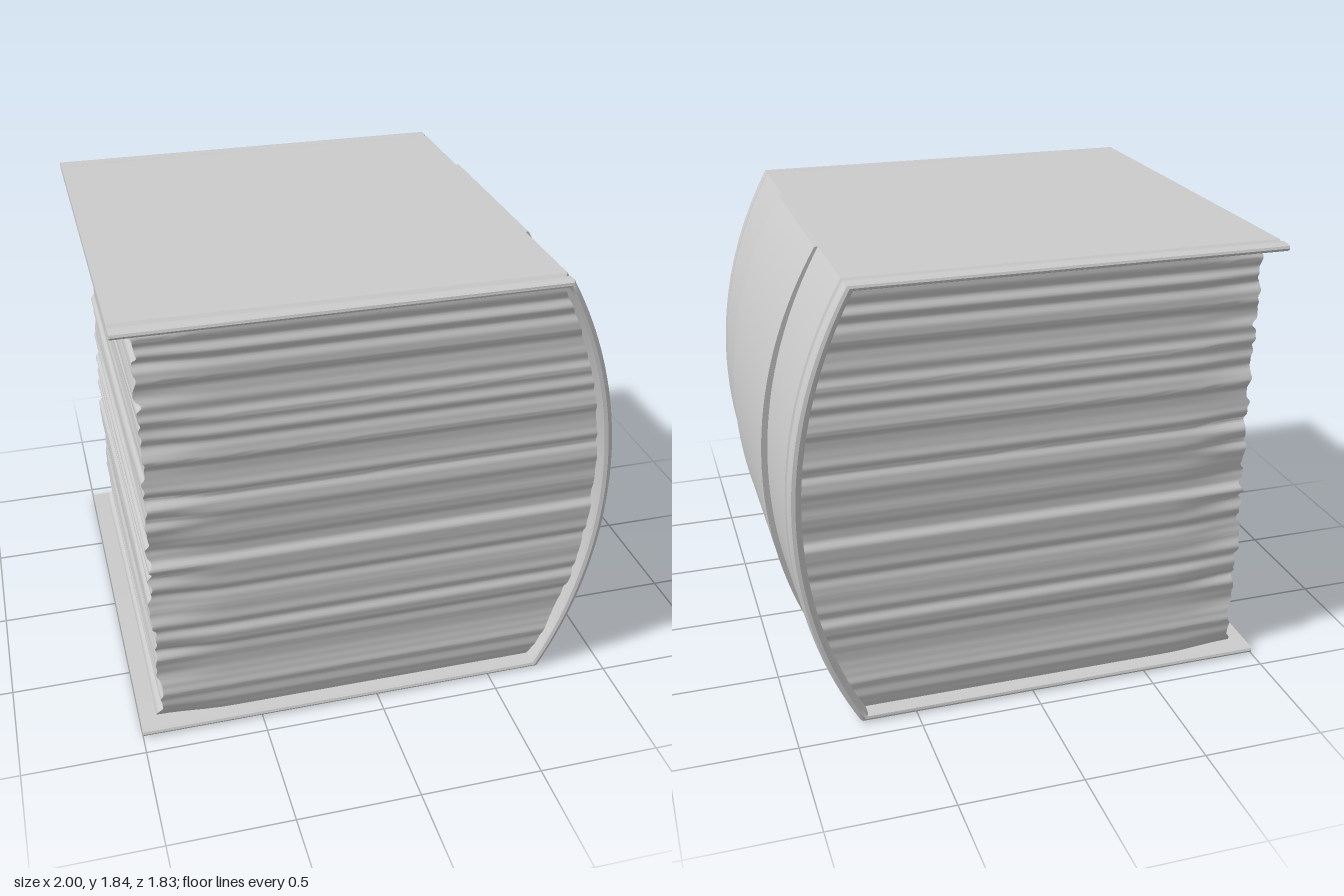
import * as THREE from 'three';
import { toCreasedNormals } from 'three/addons/utils/BufferGeometryUtils.js';

const H = 1.84, MID = H / 2;

// Points on a circular arc from (x0, y0) over (x1, MID) to (x0, H - y0)
function arc(x0, x1, y0, n = 40) {
  const half = MID - y0, sag = x1 - x0;
  const r = (half * half + sag * sag) / (2 * sag);
  const a = Math.asin(half / r);
  return Array.from({ length: n + 1 }, (_, i) => {
    const t = -a + (2 * a * i) / n;
    return new THREE.Vector2(x1 - r + r * Math.cos(t), MID + r * Math.sin(t));
  });
}

// Skin over rows of equally many points, with optional end caps
function skin(rows, capFaces = []) {
  const n = rows[0].length, index = [];
  for (let k = 0; k < rows.length - 1; k++) {
    for (let i = 0; i < n - 1; i++) {
      const a = k * n + i, b = a + 1, c = a + n, d = c + 1;
      index.push(a, c, b, b, c, d);
    }
  }
  const last = (rows.length - 1) * n;
  for (const [a, b, c] of capFaces) index.push(a, b, c, last + a, last + c, last + b);
  const g = new THREE.BufferGeometry();
  g.setAttribute('position', new THREE.Float32BufferAttribute(rows.flat(2), 3));
  g.setIndex(index);
  g.computeVertexNormals();
  return g;
}

// Seeded random numbers
function seeded(seed) {
  return () => {
    seed = (seed * 16807) % 2147483647;
    return seed / 2147483647;
  };
}

// Smooth 1D noise in -1..1 with irregular ridges
function ridges(seed, count) {
  const rand = seeded(seed);
  const v = Array.from({ length: count + 2 }, () => rand() * 2 - 1);
  return (t) => {
    const p = t * count, i = Math.floor(p), f = p - i;
    return THREE.MathUtils.lerp(v[i], v[i + 1], f * f * (3 - 2 * f));
  };
}

// Cover: one section with rolled, grooved edges swept along board, spine, board
function coverGeometry() {
  const edge = [[0.83, 0], [0.843, 0.32], [0.856, 0.04], [0.875, 0], [0.895, 0.02], [0.91, 0.2], [0.915, 0.5], [0.91, 0.8], [0.895, 1]];
  const left = edge.map(([z, t]) => [-z, t]).reverse();
  const profile = [...left, ...edge];
  const outer = [new THREE.Vector2(-1, 0), ...arc(0.73, 0.975, 0), new THREE.Vector2(-1, H)];
  const inner = [new THREE.Vector2(-1, 0.03), ...arc(0.7, 0.925, 0.03), new THREE.Vector2(-1, H - 0.03)];
  const rows = outer.map((o, k) => [...profile, profile[0]].map(([z, t]) => {
    const p = o.clone().lerp(inner[k], t);
    return [p.x, p.y, z];
  }));
  const caps = THREE.ShapeUtils.triangulateShape(profile.map(([z, t]) => new THREE.Vector2(z, t)), []);
  return toCreasedNormals(skin(rows, caps), 0.6);
}

// Raised band around the middle of the spine
function bandGeometry() {
  const shape = new THREE.Shape([...arc(0.745, 1, 0.002), ...arc(0.71, 0.96, 0.002).reverse()]);
  const g = new THREE.ExtrudeGeometry(shape, { depth: 0.824, bevelEnabled: false });
  g.translate(0, 0, -0.412);
  return toCreasedNormals(g, 0.6);
}

// Page block: horizontal outlines stacked in y, rippled like loose sheets
function pagesGeometry() {
  const y0 = 0.025, y1 = H - 0.025, layers = 200;
  const sideNoise = ridges(71, 52), foreNoise = ridges(913, 64), tipNoise = ridges(377, 40);
  const r = 1.873, cx = 0.925 - r;
  const rows = [];
  for (let j = 0; j <= layers; j++) {
    const t = j / layers, y = y0 + (y1 - y0) * t;
    const spineX = cx + Math.sqrt(r * r - (y - MID) ** 2) + 0.01;
    const side = sideNoise(t), fore = foreNoise(t), tip = tipNoise(t);
    const foreX = (s) => -0.915 + 0.012 * fore + 0.006 * tip * s;
    const sideZ = (x) => {
      const nearFore = THREE.MathUtils.smoothstep(-x, 0.62, 0.92);
      return 0.86 + 0.013 * side + nearFore * (0.012 * tip - 0.012);
    };
    const row = [], n = 20;
    const along = (i) => THREE.MathUtils.lerp(spineX, foreX(1), 1 - (1 - i / n) ** 1.5);
    for (let i = 0; i <= n; i++) row.push([along(i), y, sideZ(along(i))]);
    const zc = sideZ(foreX(1));
    for (let i = 1; i < 12; i++) {
      const s = 1 - i / 6;
      row.push([foreX(s * s), y, zc * s]);
    }
    for (let i = n; i >= 0; i--) row.push([along(i), y, -sideZ(along(i))]);
    rows.push(row);
  }
  return toCreasedNormals(skin(rows), 0.9);
}

export function createModel() {
  const group = new THREE.Group();
  group.name = 'book';
  const grey = new THREE.MeshStandardMaterial({ color: 0xcccccc });
  const greyBoth = new THREE.MeshStandardMaterial({ color: 0xcccccc, side: THREE.DoubleSide });
  const add = (name, geometry, material) => {
    const mesh = new THREE.Mesh(geometry, material);
    mesh.name = name;
    group.add(mesh);
  };
  add('cover', coverGeometry(), greyBoth);
  add('spineBand', bandGeometry(), grey);
  add('pages', pagesGeometry(), greyBoth);
  return group;
}
